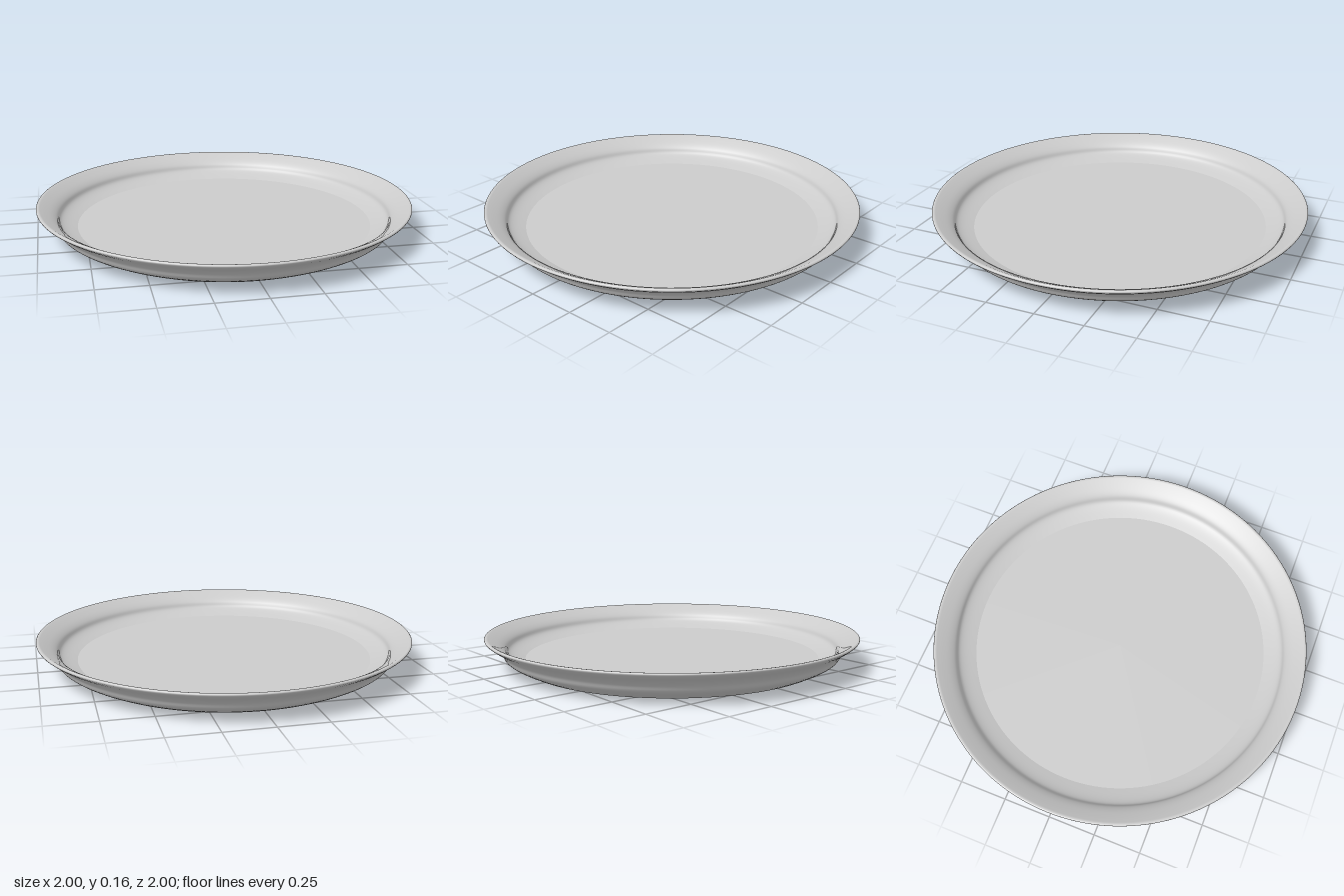
import * as THREE from 'three';

const SEGMENTS = 128;
const BASE_RADIUS = 0.8;
const FLOOR_RADIUS = 0.79;
const FLOOR_HEIGHT = 0.038;

// Smooth curve through [radius, height] pairs
function curvePoints(pairs, divisions) {
  return new THREE.SplineCurve(pairs.map(([r, y]) => new THREE.Vector2(r, y))).getPoints(divisions);
}

export function createModel() {
  const plate = new THREE.Group();
  plate.name = 'plate';
  const material = new THREE.MeshStandardMaterial({ color: 0xcccccc });

  function addPart(name, geometry) {
    const mesh = new THREE.Mesh(geometry, material);
    mesh.name = name;
    plate.add(mesh);
    return mesh;
  }

  // Flared wall: up the outside, over the rounded lip, down the inside
  const outside = curvePoints([
    [BASE_RADIUS, 0], [0.855, 0.026], [0.895, 0.052], [0.913, 0.083],
    [0.94, 0.11], [0.978, 0.135], [0.996, 0.149],
  ], 24);
  const lip = curvePoints([[0.996, 0.149], [1, 0.157], [0.994, 0.163], [0.984, 0.162]], 8);
  const inside = curvePoints([
    [0.984, 0.162], [0.955, 0.147], [0.918, 0.125], [0.893, 0.103],
    [0.878, 0.076], [0.845, 0.057], [FLOOR_RADIUS, FLOOR_HEIGHT],
  ], 24);
  const profile = [...outside, ...lip.slice(1), ...inside.slice(1)];
  addPart('wall', new THREE.LatheGeometry(profile, SEGMENTS));

  // Flat inner floor; started on the wall's seam so the edges meet
  const floor = addPart('floor', new THREE.CircleGeometry(FLOOR_RADIUS, SEGMENTS));
  floor.rotation.x = -Math.PI / 2;
  floor.position.y = FLOOR_HEIGHT;

  // Flat underside
  const underside = addPart('underside', new THREE.CircleGeometry(BASE_RADIUS, SEGMENTS));
  underside.rotation.x = Math.PI / 2;

  return plate;
}
